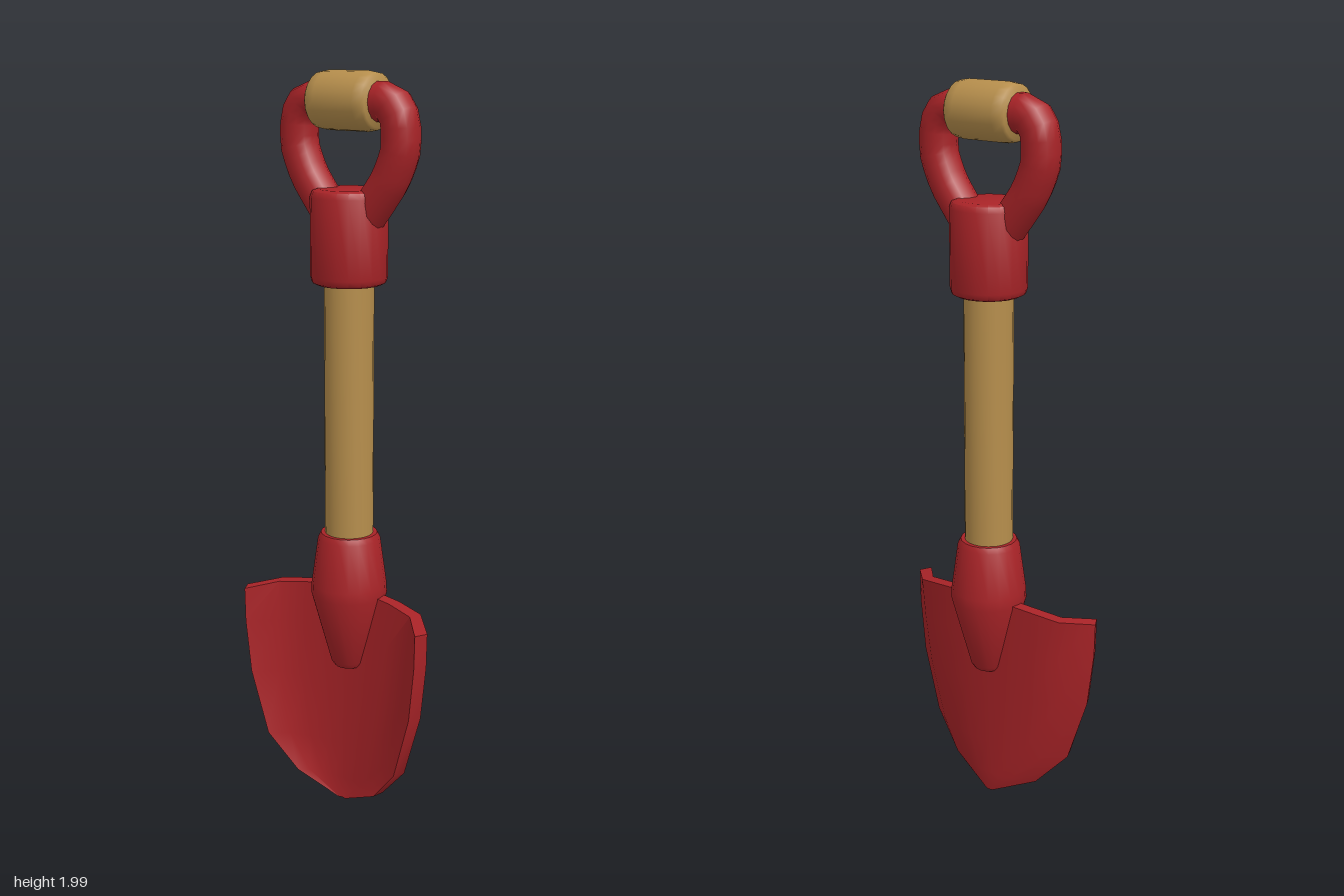
import * as THREE from 'three';
import { toCreasedNormals } from 'three/addons/utils/BufferGeometryUtils.js';

const red = new THREE.MeshStandardMaterial({ color: 0xa82327 });
red.name = 'red enamel';
const wood = new THREE.MeshStandardMaterial({ color: 0xb68e4c });
wood.name = 'wood';

// Turned part from [radius, height] pairs, bottom to top
function turned(name, points, material, sides = 20) {
  const geo = new THREE.LatheGeometry(points.map(([r, y]) => new THREE.Vector2(r, y)), sides);
  const mesh = new THREE.Mesh(toCreasedNormals(geo, 0.85), material);
  mesh.name = name;
  return mesh;
}

// Scooped blade: a box bent row by row. Each row: [y, half width, back z at centre, back z at edge]
function bladeGeometry() {
  const rows = [
    [0.01, 0.012, 0.0, 0.003],
    [0.07, 0.14, -0.004, 0.034],
    [0.17, 0.23, -0.009, 0.06],
    [0.35, 0.285, -0.018, 0.068],
    [0.5, 0.302, -0.025, 0.07],
    [0.595, 0.304, -0.03, 0.07],
  ];
  const columns = [0, 0.25, 0.5, 0.77, 1];
  const curl = [0, 0.03, 0.1, 0.27, 1];
  const geo = new THREE.BoxGeometry(8, 5, 1, 8, 5, 1);
  const p = geo.attributes.position;
  for (let i = 0; i < p.count; i++) {
    const c = Math.round(p.getX(i));
    const r = Math.round(p.getY(i) + 2.5);
    const front = p.getZ(i) > 0;
    const [y, halfWidth, zMid, zEdge] = rows[r];
    const u = columns[Math.abs(c)];
    const t = r / 5;
    // the lower blade is an even dish, the upper blade has turned-up sides
    const bend = THREE.MathUtils.lerp(u * u, curl[Math.abs(c)], t);
    const x = Math.sign(c) * u * halfWidth * (front ? 0.945 : 1);
    const lift = 0.035 * (1 - u * u) * Math.max(0, t - 0.8) * 5;
    p.setXYZ(i, x, y + lift, zMid + (zEdge - zMid) * bend + (front ? 0.033 : 0));
  }
  return toCreasedNormals(geo, 0.6);
}

export function createModel() {
  const model = new THREE.Group();
  model.name = 'shovel';

  const blade = new THREE.Mesh(bladeGeometry(), red);
  blade.name = 'blade';
  model.add(blade);

  // Socket tapering into the blade
  model.add(turned('socket', [
    [0, 0.41], [0.04, 0.41], [0.05, 0.425], [0.103, 0.62], [0.102, 0.65],
    [0.084, 0.78], [0.076, 0.795], [0, 0.795],
  ], red));

  model.add(turned('shaft', [[0.065, 0.77], [0.065, 1.5]], wood));

  model.add(turned('collar', [
    [0, 1.467], [0.084, 1.467], [0.096, 1.473], [0.1, 1.487],
    [0.1, 1.69], [0.094, 1.705], [0.08, 1.71], [0, 1.71],
  ], red));

  // Handle yoke: mirrored bent arms
  for (const side of [1, -1]) {
    const path = new THREE.CatmullRomCurve3([
      [0.05, 1.925], [0.125, 1.925], [0.155, 1.885], [0.157, 1.81], [0.125, 1.735], [0.05, 1.635],
    ].map(([x, y]) => new THREE.Vector3(side * x, y, 0)), false, 'catmullrom', 0.3);
    const arm = new THREE.Mesh(new THREE.TubeGeometry(path, 14, 0.05, 14), red);
    arm.name = side > 0 ? 'leftHandleArm' : 'rightHandleArm';
    model.add(arm);
  }

  // Crosswise grip
  const grip = turned('grip', [
    [0, -0.092], [0.064, -0.092], [0.07, -0.086], [0.074, -0.06],
    [0.074, 0.06], [0.07, 0.086], [0.064, 0.092], [0, 0.092],
  ], wood);
  grip.rotation.z = Math.PI / 2;
  grip.position.y = 1.926;
  model.add(grip);

  return model;
}
